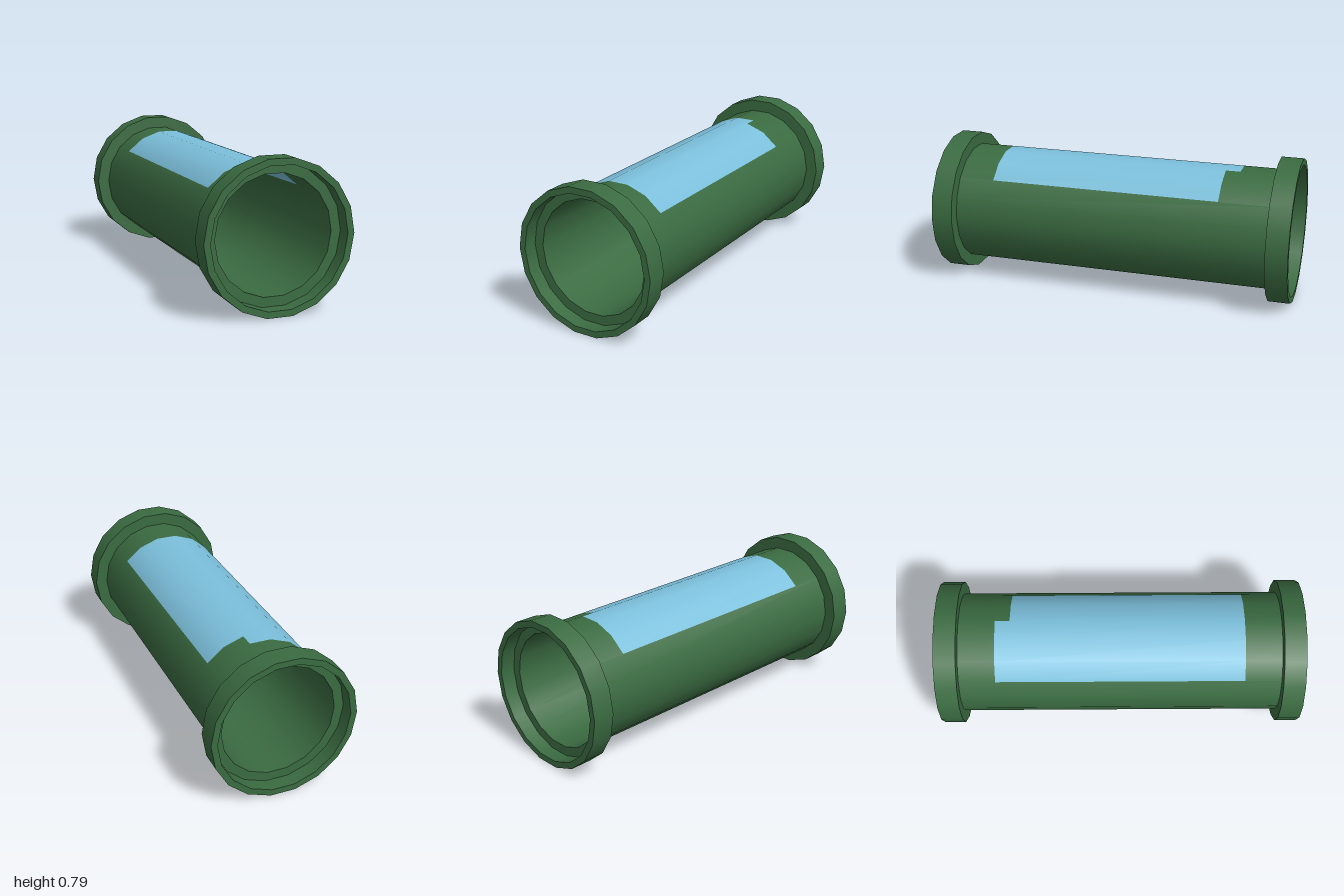
import * as THREE from 'three';
import { mergeGeometries } from 'three/addons/utils/BufferGeometryUtils.js';

const SIDES = 18;
const STEP = (Math.PI * 2) / SIDES;
const CENTRE_Y = 0.394;

const OUTER = 0.333;      // tube wall, outside
const TUBE_END = 0.92;    // where the tube meets the collar recess
const boreAt = (z) => 0.3 + (0.013 * Math.abs(z)) / TUBE_END; // bore narrows towards the middle

// Turns a profile of [radius, z] points about z, with a crease at every point.
// Facets are counted from +x towards the top.
function turned(profile, firstFacet = 0, facets = SIDES) {
  const bands = [];
  for (let i = 0; i < profile.length - 1; i++) {
    const pts = [profile[i], profile[i + 1]].map(([r, z]) => new THREE.Vector2(r, z));
    bands.push(new THREE.LatheGeometry(pts, facets, Math.PI / 2 + firstFacet * STEP, facets * STEP));
  }
  return mergeGeometries(bands).rotateX(Math.PI / 2);
}

// A piece of the tube wall, outside and inside, between two z positions
function wall(firstFacet, facets, z0, z1) {
  const outside = turned([[OUTER, z0], [OUTER, z1]], firstFacet, facets);
  const stops = z0 < 0 && z1 > 0 ? [z1, 0, z0] : [z1, z0];
  const inside = turned(stops.map((z) => [boreAt(z), z]), firstFacet, facets);
  return mergeGeometries([outside, inside]);
}

export function createModel() {
  const model = new THREE.Group();
  model.name = 'windowedTube';
  const green = new THREE.MeshStandardMaterial({ color: 0x3a6b41 });
  const blue = new THREE.MeshStandardMaterial({ color: 0x7cc0dc });

  const add = (name, geometry, material) => {
    const mesh = new THREE.Mesh(geometry, material);
    mesh.name = name;
    mesh.position.y = CENTRE_Y;
    model.add(mesh);
  };

  // Tube body, leaving an opening on top with one stepped corner
  add('tubeBody', mergeGeometries([
    wall(7, 13, -TUBE_END, TUBE_END),
    wall(2, 5, 0.68, TUBE_END),
    wall(2, 2, -TUBE_END, -0.6),
    wall(4, 3, -TUBE_END, -0.68),
  ]), green);

  // Window filling the opening
  add('window', mergeGeometries([
    wall(2, 2, -0.6, 0.68),
    wall(4, 3, -0.68, 0.68),
  ]), blue);

  // Collars with a recessed mouth, mirrored front to back
  const collar = [
    [OUTER, 0.88], [0.4, 0.88], [0.4, 1], [0.365, 1],
    [0.365, TUBE_END], [boreAt(TUBE_END), TUBE_END],
  ];
  add('frontCollar', turned(collar), green);
  add('backCollar', turned(collar.map(([r, z]) => [r, -z]).reverse()), green);

  return model;
}
